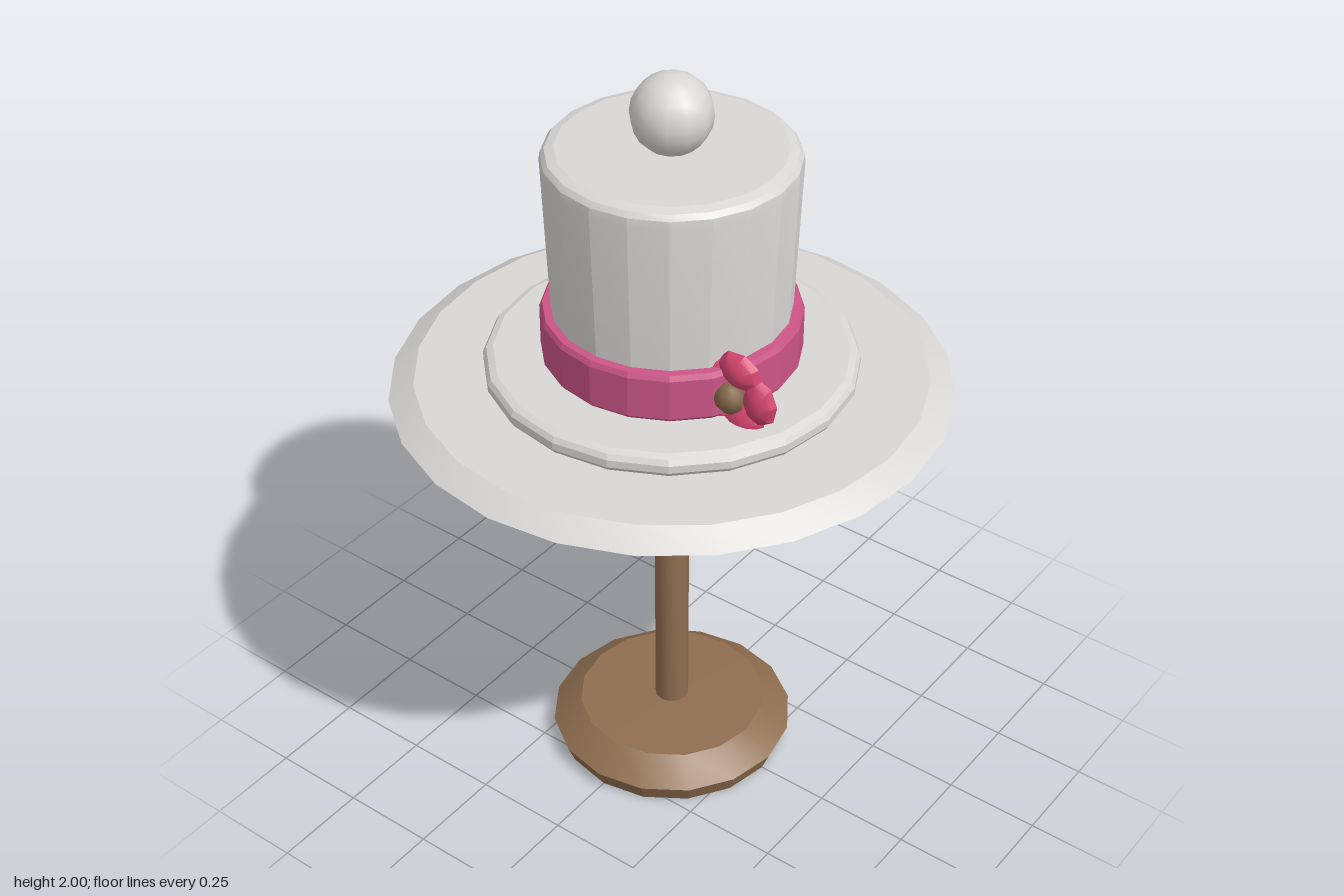
import * as THREE from 'three';
import { toCreasedNormals } from 'three/addons/utils/BufferGeometryUtils.js';

const mat = (name, color) => {
  const m = new THREE.MeshStandardMaterial({ color });
  m.name = name;
  return m;
};

export function createModel() {
  const group = new THREE.Group();
  const felt = mat('pale felt', 0xd9d7d5);
  const wood = mat('wood', 0x8f6e50);
  const ribbon = mat('pink ribbon', 0xcc5586);
  const petalPink = mat('petal pink', 0xd4456e);
  const heartBrown = mat('flower heart brown', 0x85694a);

  const add = (name, geometry, material, parent = group) => {
    const mesh = new THREE.Mesh(geometry, material);
    mesh.name = name;
    parent.add(mesh);
    return mesh;
  };
  // Turned part from [radius, height] pairs, listed bottom to top
  const turned = (name, profile, sides, material, crease = 0.25) =>
    add(name, toCreasedNormals(new THREE.LatheGeometry(
      profile.map(([r, y]) => new THREE.Vector2(r, y)), sides), crease), material);

  // Stand
  turned('base', [[0, 0], [0.305, 0], [0.325, 0.05], [0.25, 0.108], [0, 0.115]], 16, wood);
  turned('pole', [[0.045, 0.1], [0.045, 0.715]], 12, wood, 0.6);
  turned('neck', [[0.045, 0.715], [0.045, 0.79]], 12, felt, 0.6);
  turned('head', [[0, 0.757], [0.06, 0.761], [0.165, 0.797], [0.24, 0.852], [0.277, 0.925],
    [0.28, 0.99], [0.275, 1.06], [0.243, 1.135], [0.19, 1.19]], 16, felt);

  // Hat
  turned('brim', [[0, 1.14], [0.66, 1.14], [0.7, 1.16], [0.637, 1.198], [0, 1.2]], 24, felt);
  turned('brimStep', [[0.44, 1.195], [0.457, 1.203], [0.465, 1.215], [0.465, 1.235],
    [0.457, 1.248], [0.44, 1.255], [0, 1.256]], 20, felt);
  turned('crown', [[0.29, 1.25], [0.31, 1.775], [0.308, 1.795], [0.298, 1.808],
    [0.275, 1.815], [0, 1.817]], 20, felt);
  turned('hatBand', [[0.29, 1.256], [0.315, 1.256], [0.322, 1.265], [0.322, 1.372],
    [0.315, 1.385], [0.29, 1.386]], 20, ribbon);
  add('topBall', new THREE.SphereGeometry(0.1, 12, 10), felt).position.y = 1.9;

  // Flower: five flat-backed petals round a heart
  const flower = new THREE.Group();
  flower.name = 'flower';
  flower.position.set(0.29, 1.315, 0.142);
  group.add(flower);
  const petalGeometry = toCreasedNormals(new THREE.LatheGeometry(
    [[0, 0], [0.055, 0], [0.045, 0.017], [0.024, 0.029], [0, 0.034]]
      .map(([r, y]) => new THREE.Vector2(r, y)), 8).rotateX(Math.PI / 2), 0.6);
  for (let i = 0; i < 5; i++) {
    const a = i * Math.PI * 2 / 5 + 0.09;
    const petal = add('petal', petalGeometry, petalPink, flower);
    petal.position.set(Math.cos(a) * 0.074, Math.sin(a) * 0.074, 0);
    petal.rotation.z = a;
    petal.scale.set(0.87, 1.15, 1);
  }
  const heart = add('flowerHeart', new THREE.SphereGeometry(0.04, 8, 6), heartBrown, flower);
  heart.position.z = 0.02;
  heart.scale.z = 0.85;

  return group;
}
